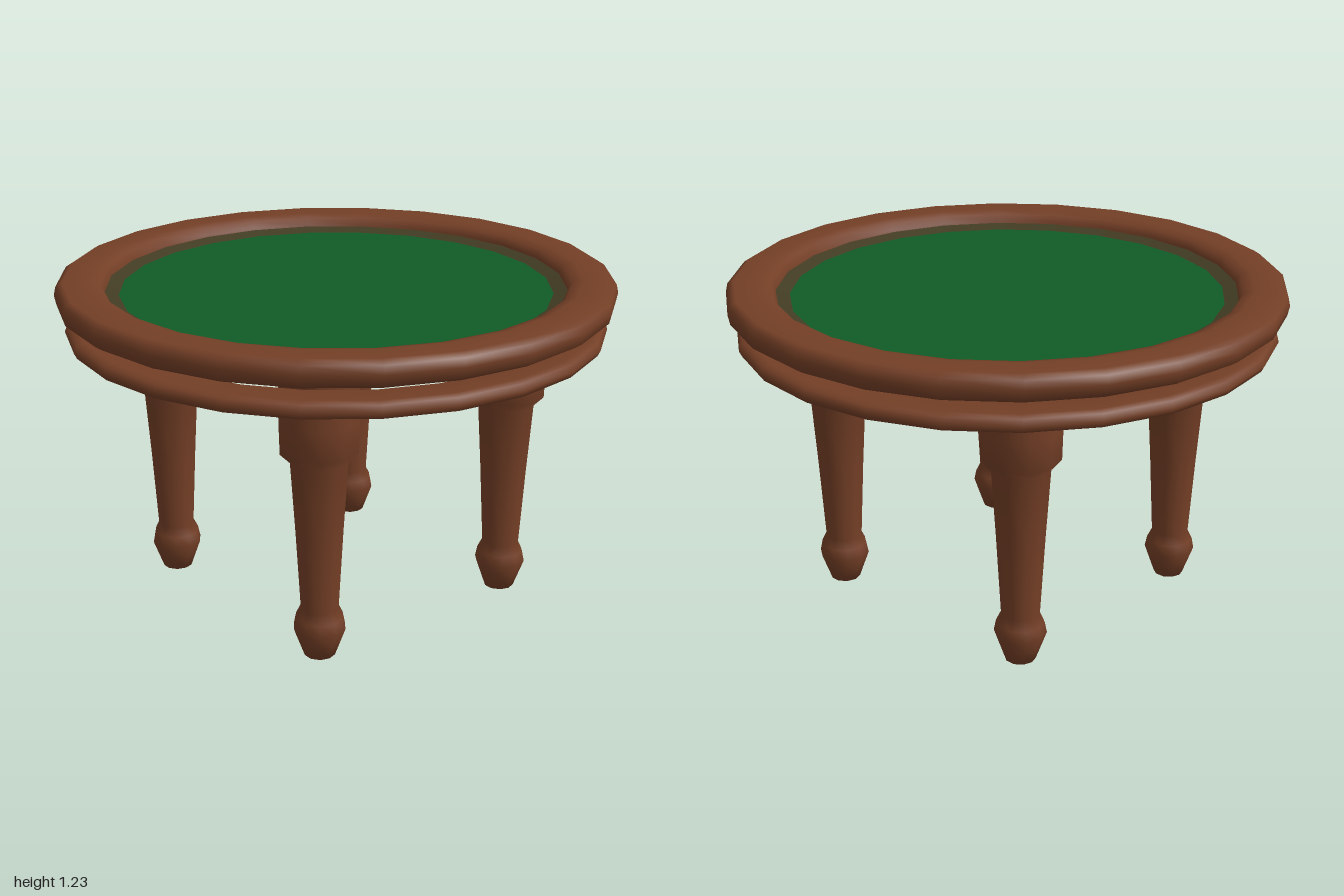
import * as THREE from 'three';

const wood = new THREE.MeshStandardMaterial({ name: 'brown wood', color: 0x743f26 });
const felt = new THREE.MeshStandardMaterial({ name: 'green felt', color: 0x115c26 });
const feltEdge = new THREE.MeshStandardMaterial({ name: 'shaded felt edge', color: 0x423c23 });

// Turned part from [radius, height] pairs, listed so the faces point outward
function turned(name, points, sides, material) {
  const profile = points.map(([r, y]) => new THREE.Vector2(r, y));
  const mesh = new THREE.Mesh(new THREE.LatheGeometry(profile, sides), material);
  mesh.name = name;
  return mesh;
}

export function createModel() {
  const table = new THREE.Group();
  table.name = 'roundTable';
  const sides = 24;

  // Padded rail around the playing surface
  table.add(turned('rail', [
    [0.80, 1.13], [0.97, 1.13], [0.993, 1.145], [1.0, 1.18], [0.993, 1.21],
    [0.97, 1.225], [0.88, 1.225], [0.84, 1.215], [0.825, 1.19], [0.82, 1.16],
  ], sides, wood));

  // Recessed felt with a darker sloping border
  table.add(turned('feltBorder', [[0.83, 1.185], [0.775, 1.17]], sides, feltEdge));
  table.add(turned('feltSurface', [[0.78, 1.17], [0, 1.17]], sides, felt));

  // Underside board that closes the rail
  table.add(turned('underside', [[0, 1.132], [0.83, 1.132]], sides, wood));

  // Thin lower ring, set apart from the rail by a narrow gap
  table.add(turned('lowerRing', [
    [0.82, 1.025], [0.93, 1.02], [0.96, 1.025], [0.97, 1.045], [0.96, 1.07],
    [0.93, 1.075], [0.82, 1.07], [0.81, 1.045], [0.82, 1.025],
  ], sides, wood));

  // Four turned legs: rounded foot, tapered shaft, thick upper block
  const legProfile = [
    [0, 0], [0.055, 0.025], [0.075, 0.08], [0.093, 0.13], [0.085, 0.17],
    [0.068, 0.205], [0.085, 0.5], [0.102, 0.755], [0.137, 0.79],
    [0.14, 0.9], [0.137, 1.15],
  ];
  for (const [side, x] of [['Left', 0.43], ['Right', -0.43]]) {
    for (const [end, z] of [['front', 0.45], ['back', -0.45]]) {
      const leg = turned(`${end}${side}Leg`, legProfile, 10, wood);
      leg.position.set(x, 0, z);
      table.add(leg);
    }
  }
  return table;
}
